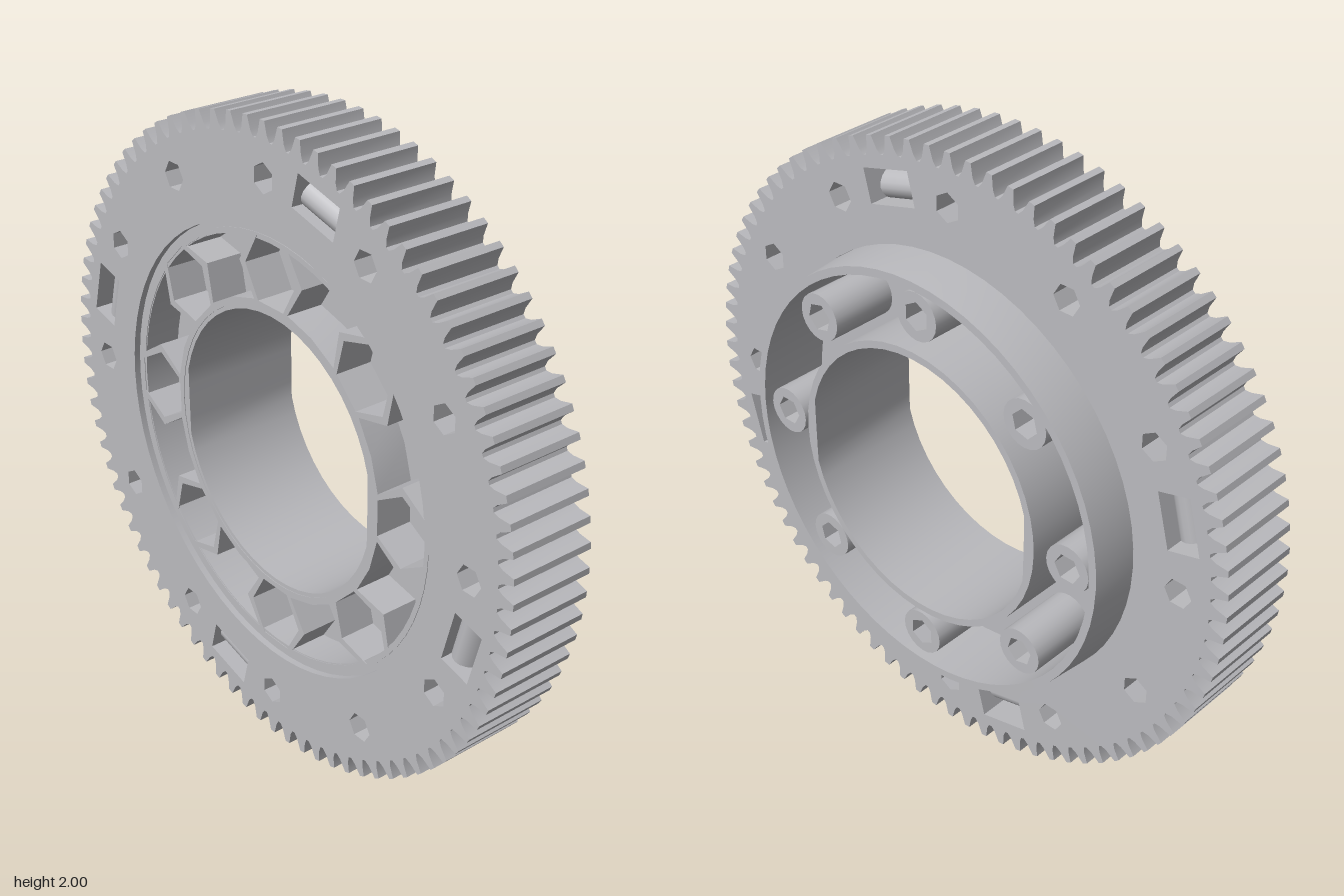
import * as THREE from 'three';
import { toCreasedNormals } from 'three/addons/utils/BufferGeometryUtils.js';

const FRONT = 0.207, RIM_BACK = -0.067, BACK = -0.207;
const LEDGE = 0.187, FLOOR_FRONT = 0.07, FLOOR_BACK = 0.03;
const TEETH = 84, TAU = Math.PI * 2;

// Point given by radial distance r and tangential offset t about direction a
const at = (a, r, t = 0) => new THREE.Vector2(
  r * Math.cos(a) - t * Math.sin(a), r * Math.sin(a) + t * Math.cos(a));

// Regular polygon around a centre
function ngon(center, radius, sides, turn = 0) {
  const pts = [];
  for (let i = 0; i < sides; i++) pts.push(at(turn + i * TAU / sides, radius).add(center));
  return pts;
}

// Prism between two depths, with holes
function prism(outline, holes, z0, z1) {
  const shape = new THREE.Shape(outline);
  for (const h of holes) shape.holes.push(new THREE.Path(h));
  const g = new THREE.ExtrudeGeometry(shape, { depth: z1 - z0, bevelEnabled: false });
  g.translate(0, 0, z0);
  return toCreasedNormals(g, 0.5);
}

export function createModel() {
  const plastic = new THREE.MeshStandardMaterial({ color: 0xbababe });
  plastic.name = 'grey plastic';
  const model = new THREE.Group();
  model.name = 'ringGear';
  const wheel = new THREE.Group();
  wheel.name = 'wheel';
  wheel.position.y = 1;
  model.add(wheel);
  const add = (name, geometry) => {
    const mesh = new THREE.Mesh(geometry, plastic);
    mesh.name = name;
    wheel.add(mesh);
    return mesh;
  };
  const origin = new THREE.Vector2();

  // Toothed rim with bolt holes and four tie slots
  const teeth = [];
  const pitch = TAU / TEETH;
  for (let i = 0; i < TEETH; i++) {
    for (const [f, r] of [[-0.42, 0.945], [-0.27, 0.962], [-0.13, 1], [0.13, 1], [0.27, 0.962], [0.42, 0.945]]) {
      teeth.push(at((i + f) * pitch, r));
    }
  }
  const rimHoles = [ngon(origin, 0.688, 64)];
  for (let i = 0; i < 12; i++) {
    const a = i * TAU / 12;
    rimHoles.push(ngon(at(a, 0.84), 0.045, 6, a));
  }
  const slotAngles = [0, 1, 2, 3].map(i => (75 + 90 * i) * Math.PI / 180);
  for (const a of slotAngles) {
    rimHoles.push([at(a, 0.8, -0.088), at(a, 0.905, -0.088), at(a, 0.905, 0.088), at(a, 0.8, 0.088)]);
  }
  add('toothedRim', prism(teeth, rimHoles, RIM_BACK, FRONT));

  // Rounded bar inside each tie slot
  for (const a of slotAngles) {
    const bar = new THREE.CylinderGeometry(0.06, 0.06, 0.154, 24);
    bar.scale(1, 1, 1.85);
    bar.rotateZ(a);
    const p = at(a, 0.835);
    bar.translate(p.x, p.y, 0.08);
    add('slotBar', bar);
  }

  // Outer hub wall, slightly tapered behind the rim
  const wall = [[0.65, BACK], [0.675, BACK], [0.687, RIM_BACK], [0.69, LEDGE], [0.65, LEDGE], [0.65, BACK]]
    .map(([r, z]) => new THREE.Vector2(r, z));
  const wallGeometry = new THREE.LatheGeometry(wall, 64);
  wallGeometry.rotateX(Math.PI / 2);
  add('hubWall', toCreasedNormals(wallGeometry, 0.5));

  // Central bore sleeve, flattened on both sides
  const bore = ngon(origin, 0.432, 48);
  for (const p of bore) p.x = THREE.MathUtils.clamp(p.x, -0.418, 0.418);
  add('boreSleeve', prism(ngon(origin, 0.455, 48), [bore], BACK, LEDGE));

  // Lattice of hexagonal nut pockets and the pockets between them
  const step = TAU / 8;
  const pockets = [], boltHoles = [];
  for (let i = 0; i < 8; i++) {
    const a = i * step, b = a + step;
    const center = at(a, 0.56);
    pockets.push(ngon(center, 0.113, 6, a + Math.PI / 2));
    pockets.push([
      at(a, 0.648, 0.083), at(a + step * 0.32, 0.654), at(a + step * 0.5, 0.654), at(b - step * 0.32, 0.654),
      at(b, 0.648, -0.083), at(b, 0.56, -0.14), at(b, 0.462, -0.075),
      at(a + step * 0.5, 0.468), at(a, 0.462, 0.075), at(a, 0.56, 0.14),
    ]);
    const hole = ngon(center, 0.045, 6, a);
    boltHoles.push(hole);
    // Bolt boss behind each nut pocket
    add('boltBoss', prism(ngon(center, 0.075, 20), [hole], -0.19, FLOOR_BACK + 0.005));
  }
  add('pocketLattice', prism(ngon(origin, 0.668, 64), [ngon(origin, 0.445, 48), ...pockets], FLOOR_FRONT - 0.005, LEDGE + 0.002));

  // Floor separating the front pockets from the rear cavity
  add('hubFloor', prism(ngon(origin, 0.67, 64), [ngon(origin, 0.445, 48), ...boltHoles], FLOOR_BACK, FLOOR_FRONT));

  return model;
}
